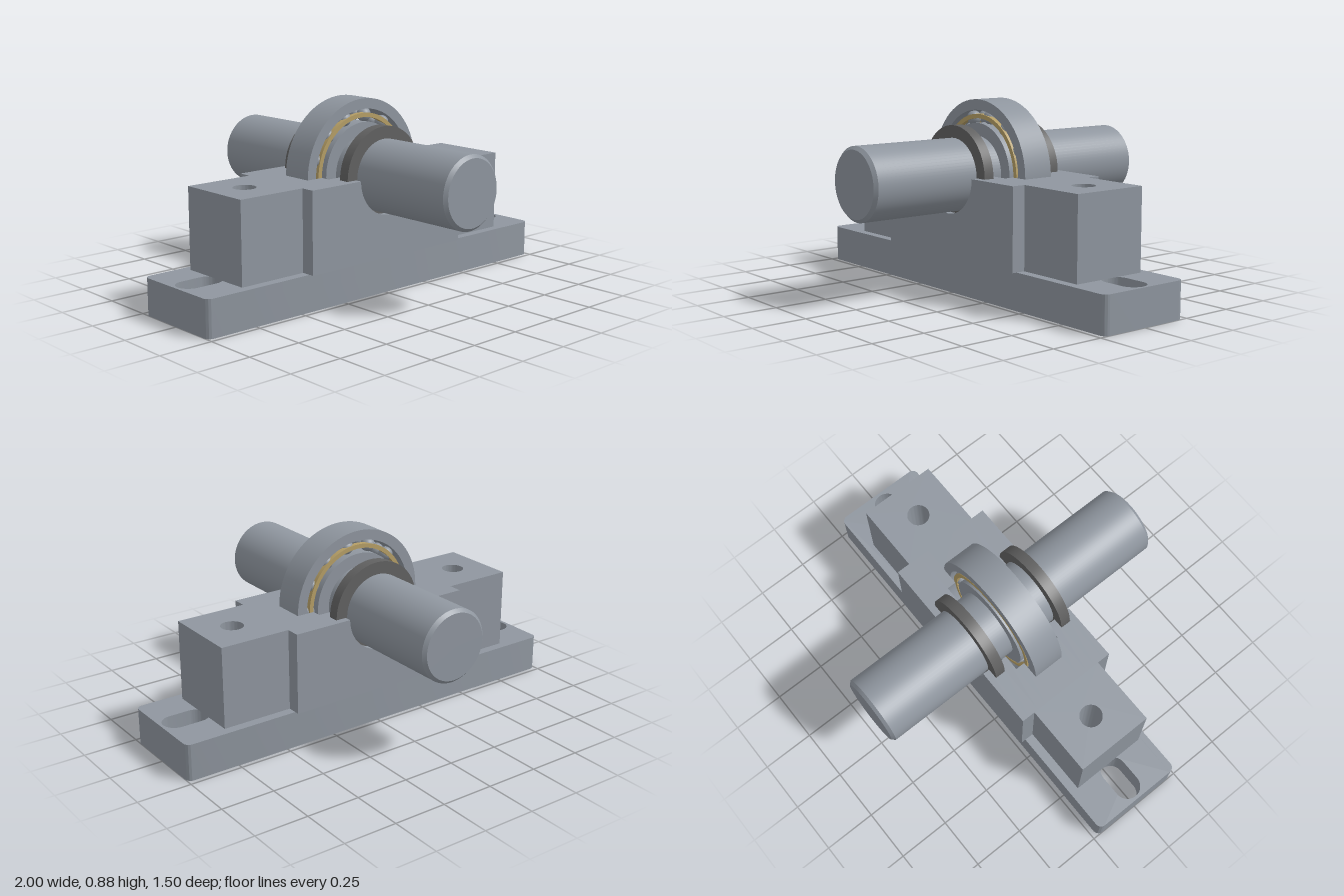
import * as THREE from 'three';
import { toCreasedNormals } from 'three/addons/utils/BufferGeometryUtils.js';

const AXIS_Y = 0.545, BASE_H = 0.17;

export function createModel() {
  const model = new THREE.Group();
  const material = (name, color) => {
    const m = new THREE.MeshStandardMaterial({ color });
    m.name = name;
    return m;
  };
  const steel = material('steel', 0x8f969f);
  const darkRubber = material('darkRubber', 0x616161);
  const brass = material('brass', 0xb59e66);

  const add = (name, geometry, mat, parent = model) => {
    const mesh = new THREE.Mesh(geometry, mat);
    mesh.name = name;
    parent.add(mesh);
    return mesh;
  };
  const extrude = (shape, depth) => toCreasedNormals(
    new THREE.ExtrudeGeometry(shape, { depth, bevelEnabled: false, curveSegments: 24 }), 0.6);
  // Turned part around the shaft axis, from [radius, z] points
  const turned = (points) => toCreasedNormals(
    new THREE.LatheGeometry(points.map(p => new THREE.Vector2(...p)), 72), 0.5)
    .rotateX(Math.PI / 2).translate(0, AXIS_Y, 0);
  const ring = (r0, r1, z0, z1) => turned([[r0, z0], [r1, z0], [r1, z1], [r0, z1], [r0, z0]]);

  // Base plate with rounded corners and a mounting slot at each end
  const plate = new THREE.Shape();
  const w = 1, d = 0.228, c = 0.03;
  plate.moveTo(-w + c, -d);
  plate.absarc(w - c, -d + c, c, -Math.PI / 2, 0);
  plate.absarc(w - c, d - c, c, 0, Math.PI / 2);
  plate.absarc(-w + c, d - c, c, Math.PI / 2, Math.PI);
  plate.absarc(-w + c, -d + c, c, Math.PI, Math.PI * 1.5);
  for (const x of [-0.877, 0.877]) {
    const slot = new THREE.Path();
    slot.absarc(x + 0.048, 0, 0.061, -Math.PI / 2, Math.PI / 2);
    slot.absarc(x - 0.048, 0, 0.061, Math.PI / 2, Math.PI * 1.5);
    slot.closePath();
    plate.holes.push(slot);
  }
  add('basePlate', extrude(plate, BASE_H).rotateX(-Math.PI / 2), steel);

  // Bolt blocks on both sides of the housing, each with a vertical hole
  for (const s of [-1, 1]) {
    const block = new THREE.Shape();
    block.moveTo(-0.1665, -0.185);
    block.lineTo(0.1665, -0.185);
    block.lineTo(0.1665, 0.185);
    block.lineTo(-0.1665, 0.185);
    block.closePath();
    const hole = new THREE.Path();
    hole.absarc(0.0035 * s, 0, 0.052, 0, Math.PI * 2);
    block.holes.push(hole);
    add(s > 0 ? 'leftBoltBlock' : 'rightBoltBlock',
      extrude(block, AXIS_Y - BASE_H).rotateX(-Math.PI / 2), steel)
      .position.set(s * 0.6235, BASE_H, 0);
  }

  // Lower housing half: slices along z with a stepped half-round bore
  const housing = new THREE.Group();
  housing.name = 'lowerHousing';
  model.add(housing);
  const slice = (r, z0, z1) => {
    const shape = new THREE.Shape();
    shape.moveTo(-0.457, BASE_H);
    shape.lineTo(0.457, BASE_H);
    shape.lineTo(0.457, AXIS_Y);
    shape.lineTo(r, AXIS_Y);
    shape.absarc(0, AXIS_Y, r, 0, -Math.PI, true);
    shape.lineTo(-0.457, AXIS_Y);
    shape.closePath();
    add('housingSlice', extrude(shape, z1 - z0).translate(0, 0, z0), steel, housing);
  };
  slice(0.334, -0.075, 0.075);
  const steps = [[0.25, 0.075, 0.12], [0.175, 0.12, 0.165], [0.226, 0.165, 0.217], [0.175, 0.217, 0.25]];
  for (const [r, z0, z1] of steps) {
    slice(r, z0, z1);
    slice(r, -z1, -z0);
  }

  // Shaft with chamfered ends
  add('shaft', turned([[0, -0.75], [0.151, -0.75], [0.166, -0.735],
    [0.166, 0.735], [0.151, 0.75], [0, 0.75]]), steel);

  // Seal rings sitting in the housing grooves
  for (const s of [-1, 1]) add('sealRing', ring(0.166, 0.223, s * 0.19 - 0.025, s * 0.19 + 0.025), darkRubber);

  // Bearing: races, two rows of balls and their cages
  const bearing = new THREE.Group();
  bearing.name = 'bearing';
  model.add(bearing);
  add('outerRace', ring(0.285, 0.333, -0.075, 0.075), steel, bearing);
  add('innerRace', ring(0.166, 0.225, -0.075, 0.075), steel, bearing);
  const ballGeometry = new THREE.SphereGeometry(0.033, 20, 14);
  const count = 13;
  for (const s of [-1, 1]) {
    add('cage', ring(0.246, 0.266, s * 0.058 - 0.012, s * 0.058 + 0.012), brass, bearing);
    for (let i = 0; i < count; i++) {
      const a = 1.41 + i / count * Math.PI * 2;
      add('ball', ballGeometry, steel, bearing)
        .position.set(0.255 * Math.cos(a), AXIS_Y + 0.255 * Math.sin(a), s * 0.034);
    }
  }
  return model;
}
